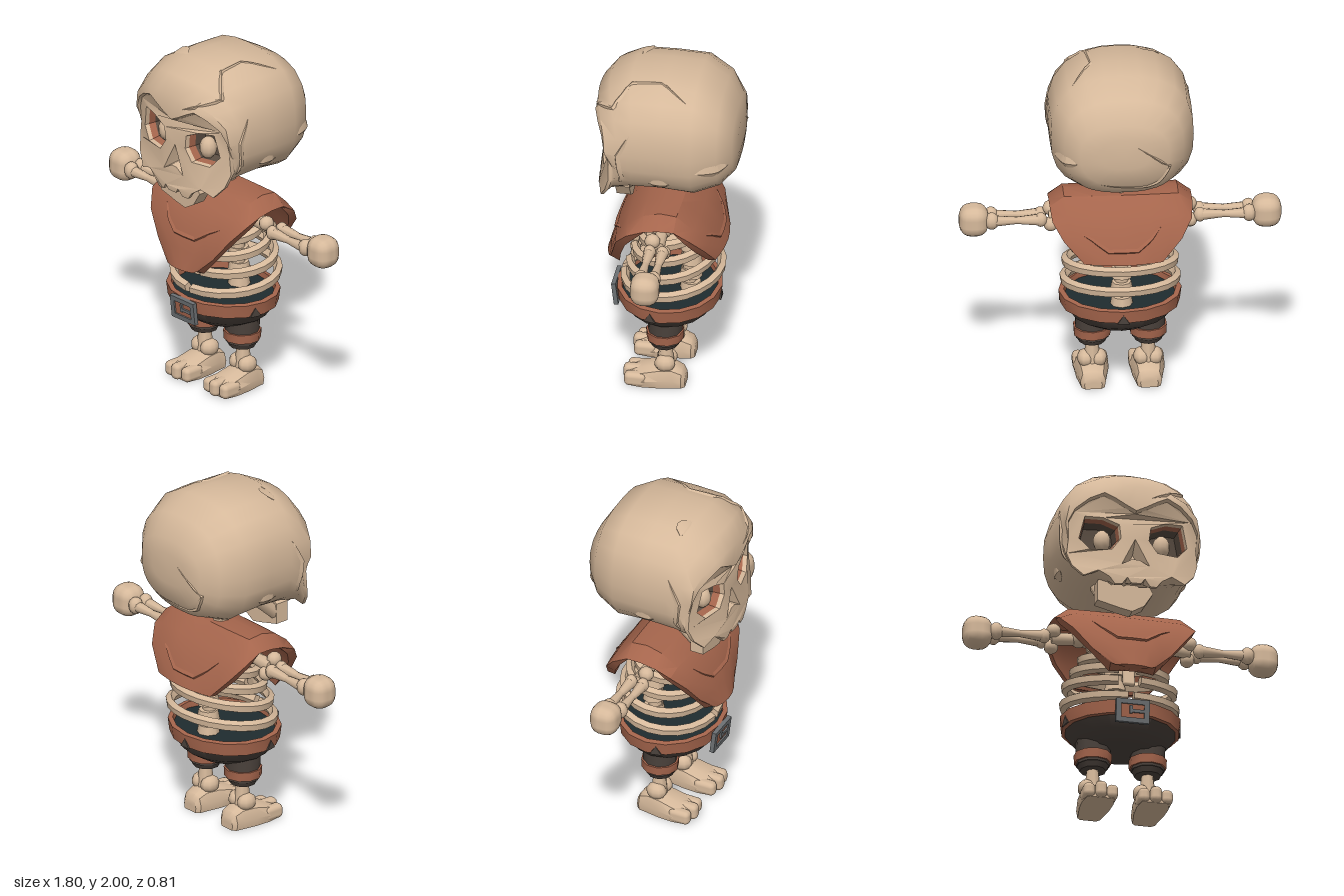
import * as THREE from 'three';
import { toCreasedNormals } from 'three/addons/utils/BufferGeometryUtils.js';
import { RoundedBoxGeometry } from 'three/addons/geometries/RoundedBoxGeometry.js';

const V = (x, y, z) => new THREE.Vector3(x, y, z);
const material = (name, color) => {
  const m = new THREE.MeshStandardMaterial({ color, side: THREE.DoubleSide });
  m.name = name;
  return m;
};

// Skin a list of closed rings, optionally with fan caps at the ends
function loft(rings, capStart = true, capEnd = true, crease = 0.6) {
  const n = rings[0].length, pos = [], idx = [];
  rings.forEach(r => r.forEach(p => pos.push(p.x, p.y, p.z)));
  for (let i = 0; i < rings.length - 1; i++) for (let k = 0; k < n; k++) {
    const a = i * n + k, b = i * n + (k + 1) % n;
    idx.push(a, a + n, b, b, a + n, b + n);
  }
  const cap = (i, flip) => {
    const c = V(0, 0, 0), id = pos.length / 3;
    rings[i].forEach(p => c.addScaledVector(p, 1 / n));
    pos.push(c.x, c.y, c.z);
    for (let k = 0; k < n; k++) {
      const a = i * n + k, b = i * n + (k + 1) % n;
      flip ? idx.push(id, b, a) : idx.push(id, a, b);
    }
  };
  if (capStart) cap(0, false);
  if (capEnd) cap(rings.length - 1, true);
  const g = new THREE.BufferGeometry();
  g.setAttribute('position', new THREE.Float32BufferAttribute(pos, 3));
  g.setIndex(idx);
  return toCreasedNormals(g, crease);
}

// Linear lookup in [key, value] pairs
function lookup(table, t) {
  for (let i = 1; i < table.length; i++) if (t <= table[i][0] || i === table.length - 1) {
    const [a, va] = table[i - 1], [b, vb] = table[i];
    return va + (vb - va) * THREE.MathUtils.clamp((t - a) / (b - a), 0, 1);
  }
}
const faceZ = (x, y) => lookup([[1.24, 0.385], [1.3, 0.395], [1.42, 0.37], [1.55, 0.365],
  [1.69, 0.375], [1.78, 0.39]], y) - 0.6 * x * x;

export function createModel() {
  const root = new THREE.Group();
  const bone = material('bone', 0xd6b99b), cloth = material('rust cloth', 0xa5654c);
  const trouser = material('dark trousers', 0x4b423c), metal = material('grey metal', 0x6c7073);
  const hollow = material('socket shadow', 0x5a4d42), lining = material('trouser lining', 0x1f2c2f);

  const add = (name, geo, mat, x = 0, y = 0, z = 0, parent = root) => {
    const m = new THREE.Mesh(geo, mat);
    m.name = name;
    m.position.set(x, y, z);
    parent.add(m);
    return m;
  };
  const ball = (name, mat, x, y, z, rx, ry = rx, rz = rx, parent = root) => {
    const m = add(name, new THREE.SphereGeometry(1, 10, 7), mat, x, y, z, parent);
    m.scale.set(rx, ry, rz);
    return m;
  };
  // Long bone between two points
  const rod = (name, a, b, r1, r2, parent = root) => {
    const m = add(name, new THREE.CylinderGeometry(r2, r1, a.distanceTo(b), 8), bone, 0, 0, 0, parent);
    m.position.copy(a).lerp(b, 0.5);
    m.quaternion.setFromUnitVectors(V(0, 1, 0), b.clone().sub(a).normalize());
    return m;
  };
  // Tapered ridge laid along a path on the surface of the targets
  const ray = new THREE.Raycaster();
  const ridge = (name, targets, centre, path, width, height, mat) => {
    const pts = [];
    path.forEach((p, i) => {
      if (i) for (let k = 1; k <= 4; k++) pts.push(V(...path[i - 1]).lerp(V(...p), k / 4));
      else pts.push(V(...p));
    });
    targets.forEach(t => t.updateMatrixWorld(true));
    const dirs = pts.map(p => p.clone().sub(centre).normalize());
    const hits = pts.map((p, i) => {
      ray.set(centre, dirs[i]);
      const h = ray.intersectObjects(targets).pop();
      return h ? h.point : p;
    });
    const rings = hits.map((p, i) => {
      const last = hits.length - 1, n = dirs[i];
      const along = hits[Math.min(i + 1, last)].clone().sub(hits[Math.max(i - 1, 0)]);
      const side = along.cross(n).normalize();
      const t = Math.pow(Math.sin(Math.PI * i / last), 0.6) + 0.02;
      const base = p.clone().addScaledVector(n, -0.004);
      return [base.clone().addScaledVector(side, -width * t), p.clone().addScaledVector(n, height * t),
        base.clone().addScaledVector(side, width * t)];
    });
    return add(name, loft(rings, true, true, 0.2), mat);
  };

  // Skull: face plate below the angry brow, skinned back to a rounded cranium
  const lower = [[0.03, 1.25], [0.05, 1.28], [0.08, 1.24], [0.12, 1.24], [0.15, 1.28], [0.21, 1.32],
    [0.29, 1.29], [0.35, 1.36], [0.375, 1.44], [0.365, 1.53]];
  const upper = [[0.37, 1.62], [0.335, 1.69], [0.26, 1.745], [0.18, 1.775], [0.12, 1.745], [0.06, 1.71]];
  const half = [...lower, ...upper];
  const outline = [...half, [0, 1.68], ...half.slice().reverse().map(([x, y]) => [-x, y])];
  // Upper points spread evenly round the dome, lower ones keep their own bearing
  const bearing = outline.map(([x, y], i) => i >= 10 && i <= 22 ? (i - 10) * Math.PI / 12 : Math.atan2(y - 1.62, x));
  const eye = [[0.13, 1.46], [0.25, 1.46], [0.31, 1.53], [0.28, 1.66], [0.18, 1.65], [0.09, 1.61], [0.08, 1.53]];
  const nose = [[0, 1.53], [-0.08, 1.365], [-0.02, 1.4], [0.02, 1.4], [0.08, 1.365]];
  const mirrorEye = eye.map(([x, y]) => [-x, y]);
  const toV2 = list => list.map(([x, y]) => new THREE.Vector2(x, y));
  const faceShape = new THREE.Shape(toV2(outline));
  [eye, mirrorEye, nose].forEach(h => faceShape.holes.push(new THREE.Path(toV2(h))));
  const faceGeo = new THREE.ShapeGeometry(faceShape);
  const fp = faceGeo.attributes.position;
  for (let i = 0; i < fp.count; i++) fp.setZ(i, faceZ(fp.getX(i), fp.getY(i)));
  const face = add('face', toCreasedNormals(faceGeo, 0.5), bone);

  // Overhanging brow edge, then sections: z, forward bend, half width, top, bottom (0 keeps the lower face)
  const sections = [[0.395, 0.6, 0.385, 1.84, 0], [0.33, 0.6, 0.395, 1.93, 1.27], [0.2, 0.3, 0.4, 1.995, 1.3],
    [0, 0, 0.403, 2, 1.31], [-0.18, 0, 0.4, 1.995, 1.29], [-0.32, 0, 0.335, 1.915, 1.34],
    [-0.395, 0, 0.25, 1.79, 1.42], [-0.412, 0, 0.14, 1.71, 1.53]];
  const skullRings = [outline.map(([x, y]) => V(x, y, faceZ(x, y))),
    outline.map(([x, y]) => y < 1.6 ? V(x, y, faceZ(x, y) - 0.01) : V(x, y + 0.012, faceZ(x, y) + 0.022))];
  for (const [z, bend, hw, top, bottom] of sections) skullRings.push(outline.map(([x, y], i) => {
    if (!bottom && y < 1.6) return V(x, y, faceZ(x, y) - 0.02);
    const c = Math.cos(bearing[i]), s = Math.sin(bearing[i]);
    const h = s >= 0 ? top - 1.62 : 1.62 - bottom;
    const r = Math.pow(Math.abs(c / hw) ** 2.6 + Math.abs(s / h) ** 2.6, -1 / 2.6);
    return V(r * c, 1.62 + r * s, z - bend * (r * c) ** 2);
  }));
  const cranium = add('cranium', loft(skullRings, false, true, 0.8), bone);

  // Recessed sockets and nose
  const inset = (list, cx, cy, scale, depth) => list.map(([x, y]) =>
    V(cx + (x - cx) * scale, cy + (y - cy) * scale, faceZ(x, y) - depth));
  [[eye, 1], [mirrorEye, -1]].forEach(([list, s]) => {
    const r = [[1, 0], [0.95, 0.025], [0.88, 0.065], [0.78, 0.13]].map(([k, d]) => inset(list, s * 0.19, 1.56, k, d));
    add('socketEdge', loft([r[0], r[1]], false, false), bone);
    add('socketLining', loft([r[1], r[2]], false, false), cloth);
    add('socketHollow', loft([r[2], r[3]], false, true), hollow);
    ball('eyeball', bone, s * 0.17, 1.54, 0.27, 0.05, 0.065, 0.05);
  });
  add('noseCavity', loft([inset(nose, 0, 1.43, 1, 0), inset(nose, 0, 1.43, 0.3, 0.07)], false, true, 0.2), bone);

  // Crooked lower jaw with its hinges
  const jawShape = new THREE.Shape(toV2([[-0.2, 1.17], [-0.07, 1.135], [0, 1.12], [0.07, 1.16], [0.12, 1.24],
    [0.1, 1.28], [0.04, 1.27], [0, 1.3], [-0.05, 1.27], [-0.08, 1.3], [-0.12, 1.27], [-0.17, 1.31], [-0.2, 1.29]]));
  add('lowerJaw', new THREE.ExtrudeGeometry(jawShape, { depth: 0.08, bevelEnabled: false }), bone, 0, 0, 0.21);
  [[-0.16, 1.21], [0.07, 1.23]].forEach(([x, y]) => rod('jawHinge', V(x, y, 0.25), V(x, 1.36, 0.08), 0.04, 0.04));

  // Cracks and chips
  const skull = [cranium, face], mid = V(0, 1.62, 0);
  const crack = (path, w = 0.017, h = 0.01) => ridge('crack', skull, mid, path, w, h, bone);
  crack([[0.3, 1.95, -0.16], [0.17, 2, 0.02], [0.18, 1.98, 0.18], [0.28, 1.86, 0.27], [0.17, 1.81, 0.37], [0.09, 1.78, 0.4]]);
  crack([[-0.07, 1.66, -0.4], [-0.25, 1.53, -0.38], [-0.2, 1.42, -0.38], [-0.13, 1.38, -0.38], [0.14, 1.42, -0.39]]);
  [1, -1].forEach(s => crack([[s * 0.4, 1.76, 0.17], [s * 0.39, 1.62, 0.23], [s * 0.39, 1.47, 0.22], [s * 0.37, 1.4, 0.24]], 0.02, 0.012));
  crack([[0.37, 1.54, -0.2], [0.33, 1.54, -0.3], [0.27, 1.55, -0.39]], 0.04, 0.012);
  [1, -1].forEach(s => crack([[s * 0.4, 1.42, 0.07], [s * 0.4, 1.42, -0.07]], 0.045, 0.012));
  crack([[-0.25, 1.98, 0.18], [-0.1, 1.98, 0.17]], 0.06, 0.006);

  // Draped scarf: rows run over the shoulders from front tip to back tip
  // Each row: outer z, outer y, inner z, inner y, half width, edge drop
  const rows = [[0.35, 0.765, 0.29, 0.75, 0.13, -0.015], [0.32, 0.87, 0.265, 0.86, 0.225, 0], [0.28, 1, 0.22, 0.98, 0.325, 0],
    [0.2, 1.12, 0.15, 1.07, 0.39, 0.03], [0.1, 1.19, 0.08, 1.13, 0.4, 0.06], [0, 1.215, 0, 1.15, 0.4, 0.07],
    [-0.1, 1.205, -0.09, 1.14, 0.4, 0.06], [-0.2, 1.12, -0.16, 1.07, 0.39, 0.03], [-0.28, 1, -0.22, 0.98, 0.33, 0],
    [-0.33, 0.88, -0.28, 0.87, 0.22, 0]];
  const cols = [-1, -0.8, -0.4, 0, 0.4, 0.8, 1];
  const scarf = add('scarf', loft(rows.map(([zo, yo, zi, yi, w, drop]) => {
    const at = (t, z, y) => V(t * w, y - (Math.abs(t) === 1 ? drop : 0), z * (1 - 0.1 * t * t));
    return [...cols.map(t => at(t, zo, yo)), ...cols.slice().reverse().map(t => at(t * 0.97, zi, yi))];
  })), cloth);
  [1, -1].forEach(s => ridge('scarfFold', [scarf], V(0, 0.93, 0),
    [[-0.22, 1.07, s * 0.23], [-0.16, 1.01, s * 0.26], [-0.08, 0.95, s * 0.29], [0.08, 0.95, s * 0.29], [0.17, 1.01, s * 0.26], [0.23, 1.04, s * 0.24]], 0.016, 0.01, cloth));

  // Spine, leaning forward at the neck, and ribs
  for (let i = 0; i < 9; i++) {
    const y = 0.56 + i * 0.09;
    const z = lookup([[0.56, -0.12], [0.95, -0.12], [1.08, -0.08], [1.28, 0.03]], y);
    add('vertebra', new THREE.CylinderGeometry(0.055, 0.065, 0.055, 8), bone, 0, y, z);
    add('spineDisc', new THREE.CylinderGeometry(0.04, 0.04, 0.05, 8), bone, 0, y + 0.045, z + 0.01);
  }
  [[0.655, 0.32, 0.275], [0.765, 0.31, 0.245], [0.855, 0.265, 0.215], [0.935, 0.22, 0.18], [1.01, 0.17, 0.145]].forEach(([y, rx, rz], i) => {
    const gap = i === 0 ? 0.05 : 0.2, rings = [];
    for (let k = 0; k <= 22; k++) {
      const a = gap + (2 * Math.PI - 2 * gap) * k / 22, s = Math.sin(a), c = Math.cos(a);
      const yc = y - 0.037 * c, h = 0.03 + 0.004 * Math.abs(s);
      const at = (d, dy) => V((rx + d) * s, yc + dy, (rz + d) * c - 0.02);
      rings.push([at(0.015, -h * 0.6), at(0.02, h * 0.5), at(-0.01, h), at(-0.03, 0), at(-0.015, -h)]);
    }
    add('rib', loft(rings, true, true, 0.5), bone);
  });
  add('breastbone', new RoundedBoxGeometry(0.07, 0.25, 0.03, 1, 0.012), bone, 0, 0.82, 0.19).rotation.x = -0.2;

  // Trousers, belt and buckle
  const turned = (name, profile, mat) => {
    const g = new THREE.LatheGeometry(toV2(profile), 16);
    g.scale(1, 1, 0.86);
    return add(name, toCreasedNormals(g, 0.6), mat);
  };
  turned('trouserSeat', [[0, 0.375], [0.18, 0.38], [0.27, 0.43], [0.322, 0.5], [0.32, 0.55]], trouser);
  turned('waistLining', [[0, 0.54], [0.318, 0.54]], lining);
  turned('belt', [[0.315, 0.49], [0.335, 0.495], [0.345, 0.57], [0.315, 0.575], [0.31, 0.53]], cloth);
  // Notches in the lower edge of the belt
  const notch = new THREE.Shape(toV2([[-0.035, -0.02], [0.035, -0.02], [0, 0.035]]));
  const notchGeo = new THREE.ExtrudeGeometry(notch, { depth: 0.009, bevelEnabled: false });
  [[0.323, 0.056, Math.PI / 2 - 0.23], [-0.323, 0.056, 0.23 - Math.PI / 2], [0, -0.286, Math.PI]].forEach(([x, z, turn]) =>
    add('beltNotch', notchGeo, trouser, x, 0.513, z).rotation.y = turn);
  const buckle = new THREE.Group();
  buckle.name = 'buckle';
  buckle.position.set(0, 0.503, 0.285);
  buckle.rotation.x = 0.12;
  root.add(buckle);
  const rect = (w, h, Type) => new Type(toV2([[-w, -h], [w, -h], [w, h], [-w, h]]));
  const frame = rect(0.096, 0.068, THREE.Shape);
  frame.holes.push(rect(0.066, 0.04, THREE.Path));
  add('buckleFrame', new THREE.ExtrudeGeometry(frame, { depth: 0.025, bevelEnabled: false }), metal, 0, 0, 0, buckle);
  add('buckleBack', new THREE.BoxGeometry(0.14, 0.09, 0.02), cloth, 0, 0, 0.006, buckle);
  add('bucklePin', new THREE.BoxGeometry(0.07, 0.018, 0.02), metal, 0.03, 0, 0.016, buckle);
  add('buckleBar', new THREE.BoxGeometry(0.016, 0.045, 0.02), metal, -0.01, 0.008, 0.016, buckle);

  for (const s of [1, -1]) {
    // Leg and foot
    const leg = new THREE.Group();
    leg.name = s > 0 ? 'leftLeg' : 'rightLeg';
    leg.position.x = s * 0.157;
    root.add(leg);
    const tube = (name, r1, r2, y0, y1, mat) =>
      add(name, toCreasedNormals(new THREE.CylinderGeometry(r2, r1, y1 - y0, 10), 0.7), mat, 0, (y0 + y1) / 2, 0, leg);
    tube('trouserLeg', 0.095, 0.1, 0.28, 0.44, trouser);
    tube('trouserHem', 0.075, 0.095, 0.25, 0.29, trouser);
    tube('legStrap', 0.105, 0.108, 0.295, 0.348, cloth);
    rod('shin', V(0, 0.12, -0.005), V(0, 0.27, -0.005), 0.05, 0.032, leg);
    [-1, 1].forEach(k => ball('ankleKnob', bone, k * 0.037, 0.143, -0.005, 0.048, 0.05, 0.06, leg));
    // Foot sections: z, half width, height
    const foot = [[0.2, 0.085, 0.07], [0.12, 0.1, 0.1], [0.03, 0.095, 0.125], [-0.05, 0.08, 0.125], [-0.1, 0.072, 0.1], [-0.12, 0.05, 0.07]];
    add('foot', loft(foot.map(([z, w, h]) => [V(w * 0.9, 0, z), V(w, h * 0.4, z), V(w * 0.8, h * 0.85, z), V(w * 0.3, h, z),
      V(-w * 0.3, h, z), V(-w * 0.8, h * 0.85, z), V(-w, h * 0.4, z), V(-w * 0.9, 0, z)])), bone, 0, 0, 0, leg);
    [-1, 0, 1].forEach(k => add('toe', new RoundedBoxGeometry(0.066, 0.094 - 0.01 * Math.abs(k), 0.13, 2, 0.028), bone,
      k * 0.066, 0.047 - 0.005 * Math.abs(k), 0.17 - 0.015 * Math.abs(k), leg));

    // Outstretched arm and fist
    const arm = new THREE.Group();
    arm.name = s > 0 ? 'leftArm' : 'rightArm';
    root.add(arm);
    rod('collarBone', V(s * 0.03, 1.08, 0.08), V(s * 0.24, 1.07, 0), 0.022, 0.025, arm);
    rod('shoulderBlade', V(s * 0.05, 1.05, -0.12), V(s * 0.24, 1.06, -0.02), 0.025, 0.03, arm);
    ball('shoulderKnob', bone, s * 0.24, 1.06, 0, 0.055, 0.055, 0.055, arm);
    rod('upperArm', V(s * 0.24, 1.05, 0), V(s * 0.4, 1.04, 0), 0.035, 0.04, arm);
    [[1.075, 0.03], [1.005, -0.03]].forEach(([y, z]) => ball('elbowKnob', bone, s * 0.39, y, z, 0.042, 0.042, 0.045, arm));
    [-1, 1].forEach(k => {
      const at = x => V(s * x, 1.036, k * 0.036);
      ball('forearmEnd', bone, s * 0.445, 1.036, k * 0.036, 0.036, 0.042, 0.036, arm);
      rod('forearm', at(0.44), at(0.58), 0.036, 0.021, arm);
      rod('forearm', at(0.58), at(0.72), 0.021, 0.034, arm);
      ball('wristEnd', bone, s * 0.72, 1.037, k * 0.036, 0.042, 0.05, 0.042, arm);
    });
    add('fist', new RoundedBoxGeometry(0.166, 0.182, 0.164, 2, 0.068), bone, s * 0.819, 1.034, -0.005, arm);
  }
  return root;
}
